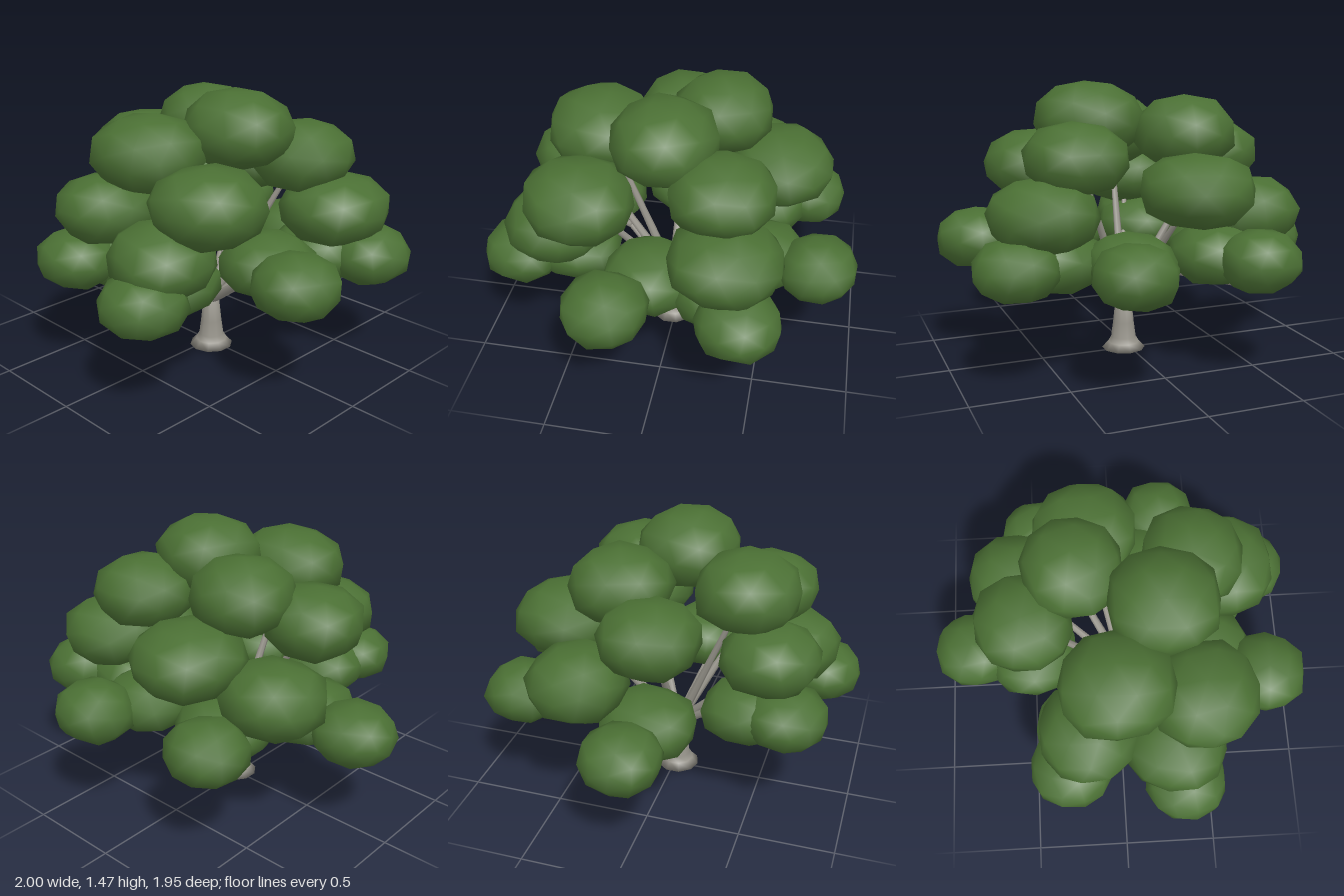
import * as THREE from 'three';
import { mergeVertices } from 'three/addons/utils/BufferGeometryUtils.js';

// Leaf clumps: centre x, y, z, then radius x, y, z
const crownClumps = [
  [0.22, 1.27, 0.02, 0.28, 0.195, 0.265],
  [-0.22, 1.21, -0.21, 0.255, 0.19, 0.26],
];
const upperClumps = [
  [-0.03, 1.17, 0.40, 0.29, 0.19, 0.27],
  [-0.48, 1.07, 0.02, 0.245, 0.18, 0.25],
  [0.39, 1.11, -0.29, 0.26, 0.18, 0.26],
  [-0.15, 0.96, -0.53, 0.28, 0.18, 0.28],
  [0.41, 1.00, 0.42, 0.27, 0.185, 0.275],
  [-0.53, 0.80, -0.34, 0.26, 0.18, 0.25],
  [-0.18, 0.89, 0.56, 0.25, 0.17, 0.25],
  [0.27, 0.74, 0.59, 0.26, 0.18, 0.26],
  [0.58, 0.85, -0.34, 0.265, 0.18, 0.28],
];
const lowerClumps = [
  [-0.28, 0.62, 0.67, 0.215, 0.145, 0.21],
  [0.32, 0.58, 0.76, 0.21, 0.145, 0.205],
  [-0.79, 0.575, -0.03, 0.21, 0.145, 0.205],
  [0.79, 0.65, 0.21, 0.21, 0.155, 0.21],
  [0.74, 0.62, -0.43, 0.21, 0.15, 0.21],
  [0.27, 0.63, -0.78, 0.2, 0.15, 0.195],
  [-0.42, 0.62, -0.69, 0.205, 0.15, 0.2],
];
// Inner ring filling the underside of the canopy
const innerClumps = [
  [-0.47, 0.58, 0.0, 0.24, 0.155, 0.25],
  [0.47, 0.62, 0.05, 0.24, 0.155, 0.24],
  [-0.23, 0.6, 0.46, 0.23, 0.15, 0.23],
  [0.23, 0.58, 0.5, 0.23, 0.14, 0.24],
  [0.5, 0.61, -0.3, 0.24, 0.15, 0.23],
  [0.18, 0.61, -0.48, 0.22, 0.15, 0.23],
  [-0.31, 0.61, -0.44, 0.24, 0.155, 0.24],
];

const TOP = new THREE.Vector3(0.03, 0.27, 0.015);

// Small seeded random
let seed = 7;
const rand = () => (seed = (seed * 16807) % 2147483647) / 2147483647;

// Rounded, slightly boxy and uneven low-poly clump with smooth normals
function clumpGeometry(rx, ry, rz) {
  let g = new THREE.IcosahedronGeometry(1, 1);
  g.deleteAttribute('normal');
  g.deleteAttribute('uv');
  g = mergeVertices(g, 1e-3);
  g.rotateY(rand() * 6.28);
  g.rotateX((rand() - 0.5) * 0.6);
  const p = g.attributes.position;
  const v = new THREE.Vector3();
  const e = 2.3;
  for (let i = 0; i < p.count; i++) {
    v.fromBufferAttribute(p, i);
    const n = Math.pow(Math.abs(v.x) ** e + Math.abs(v.y) ** e + Math.abs(v.z) ** e, 1 / e);
    v.multiplyScalar((0.98 + rand() * 0.07) / n);
    p.setXYZ(i, v.x * rx, v.y * ry, v.z * rz);
  }
  g.computeVertexNormals();
  return g;
}

// Tapered limb between two points
function limb(a, b, r0, r1, material) {
  const dir = b.clone().sub(a);
  const mesh = new THREE.Mesh(new THREE.CylinderGeometry(r1, r0, dir.length(), 7), material);
  mesh.position.copy(a).addScaledVector(dir, 0.5);
  mesh.quaternion.setFromUnitVectors(new THREE.Vector3(0, 1, 0), dir.normalize());
  mesh.name = 'branch';
  return mesh;
}

export function createModel() {
  const leaf = new THREE.MeshStandardMaterial({ color: 0x4b7034 });
  leaf.name = 'leaf green';
  const bark = new THREE.MeshStandardMaterial({ color: 0x96938a });
  bark.name = 'bark grey';

  const tree = new THREE.Group();
  tree.name = 'tree';

  // Trunk with flared foot
  const profile = [[0, 0], [0.118, 0], [0.085, 0.035], [0.068, 0.065], [0.057, 0.15], [0.043, 0.28], [0, 0.29]]
    .map(([r, y]) => new THREE.Vector2(r, y));
  const trunk = new THREE.Mesh(new THREE.LatheGeometry(profile, 10), bark);
  trunk.name = 'trunk';
  trunk.position.set(TOP.x, 0, TOP.z);
  tree.add(trunk);

  // Canopy
  const canopy = new THREE.Group();
  canopy.name = 'canopy';
  for (const [x, y, z, rx, ry, rz] of [...crownClumps, ...upperClumps, ...lowerClumps, ...innerClumps]) {
    const clump = new THREE.Mesh(clumpGeometry(rx, ry, rz), leaf);
    clump.name = 'leafClump';
    clump.position.set(x, y, z);
    canopy.add(clump);
  }

  const branches = new THREE.Group();
  branches.name = 'branches';
  // Straight branches into the upper clumps
  for (const [x, y, z, , ry] of upperClumps) {
    const tip = new THREE.Vector3(x * 0.9, y - ry * 0.4, z * 0.9);
    branches.add(limb(TOP, tip, 0.028, 0.012, bark));
  }
  // Low branches rise, then level out and show their tips under the outer clumps
  for (const [x, y, z, , ry] of lowerClumps) {
    const tip = new THREE.Vector3(x * 0.95, y - ry * 0.94, z * 0.95);
    const bend = TOP.clone().lerp(tip, 0.42).setY(0.49);
    branches.add(limb(TOP, bend, 0.028, 0.02, bark), limb(bend, tip, 0.02, 0.012, bark));
  }

  tree.add(branches, canopy);
  return tree;
}
